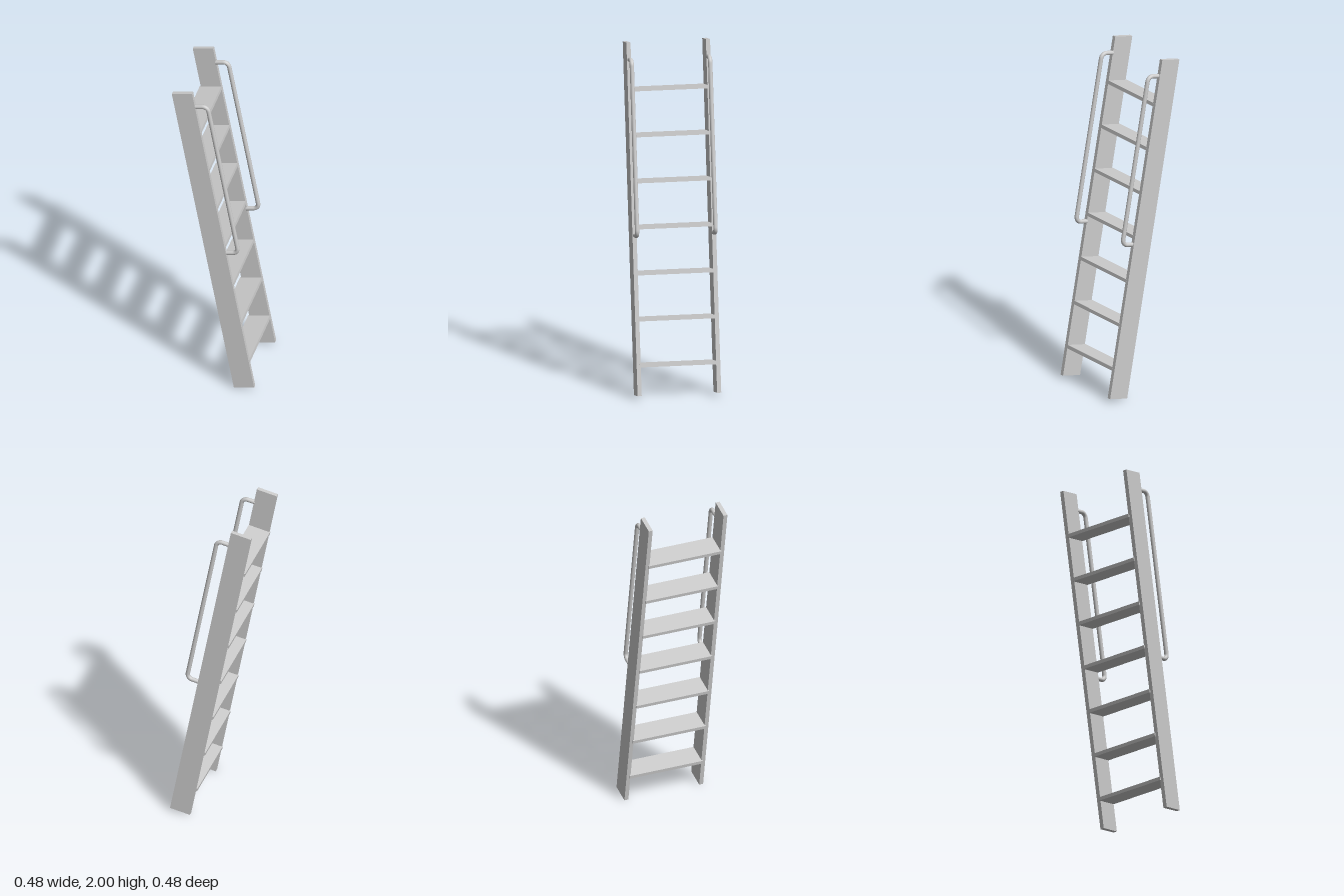
import * as THREE from 'three';

const TILT = THREE.MathUtils.degToRad(10.45);
const RAIL = { width: 0.121, length: 2.0115, thick: 0.024, z: 0.229 };
const TREAD = { count: 7, first: -0.833, pitch: 0.2615, thick: 0.02, back: -0.068, front: 0.0612, span: 0.446 };
const GRIP = { radius: 0.0125, z: 0.2258, out: 0.131, low: -0.092, high: 0.908, bend: 0.032 };

const material = new THREE.MeshStandardMaterial({ color: 0xcccccc });

function addMesh(parent, name, geometry, x = 0, y = 0, z = 0) {
  const mesh = new THREE.Mesh(geometry, material);
  mesh.name = name;
  mesh.position.set(x, y, z);
  parent.add(mesh);
  return mesh;
}

// Bracket-shaped centre line: out of the side rail, along it, and back in
function handrailPath() {
  const { out, low, high, bend } = GRIP;
  const p = (x, y) => new THREE.Vector3(x, y, 0);
  const k = bend * 0.448; // handle distance for near-circular bends
  const inner = RAIL.width / 2 - 0.006;
  const path = new THREE.CurvePath();
  path.add(new THREE.LineCurve3(p(inner, low), p(out - bend, low)));
  path.add(new THREE.CubicBezierCurve3(
    p(out - bend, low), p(out - k, low), p(out, low + k), p(out, low + bend)));
  path.add(new THREE.LineCurve3(p(out, low + bend), p(out, high - bend)));
  path.add(new THREE.CubicBezierCurve3(
    p(out, high - bend), p(out, high - k), p(out - k, high), p(out - bend, high)));
  path.add(new THREE.LineCurve3(p(out - bend, high), p(inner, high)));
  return path;
}

export function createModel() {
  const model = new THREE.Group();
  model.name = 'ladder';

  // Built upright, then leaned back as one piece
  const frame = new THREE.Group();
  frame.name = 'leaningFrame';
  frame.position.y = 1;
  frame.rotation.z = TILT;
  model.add(frame);

  // Side rails and handrails, mirrored in z
  const railGeometry = new THREE.BoxGeometry(RAIL.width, RAIL.length, RAIL.thick);
  const gripGeometry = new THREE.TubeGeometry(handrailPath(), 240, GRIP.radius, 20, false);
  for (const [side, label] of [[1, 'Front'], [-1, 'Back']]) {
    addMesh(frame, `sideRail${label}`, railGeometry, 0, 0, side * RAIL.z);
    addMesh(frame, `handrail${label}`, gripGeometry, 0, 0, side * GRIP.z);
  }

  // Treads, square to the rails and let into them at both ends
  const treadGeometry = new THREE.BoxGeometry(TREAD.front - TREAD.back, TREAD.thick, TREAD.span);
  const treadX = (TREAD.front + TREAD.back) / 2;
  for (let i = 0; i < TREAD.count; i++) {
    addMesh(frame, `tread${i + 1}`, treadGeometry, treadX, TREAD.first + i * TREAD.pitch, 0);
  }

  return model;
}
